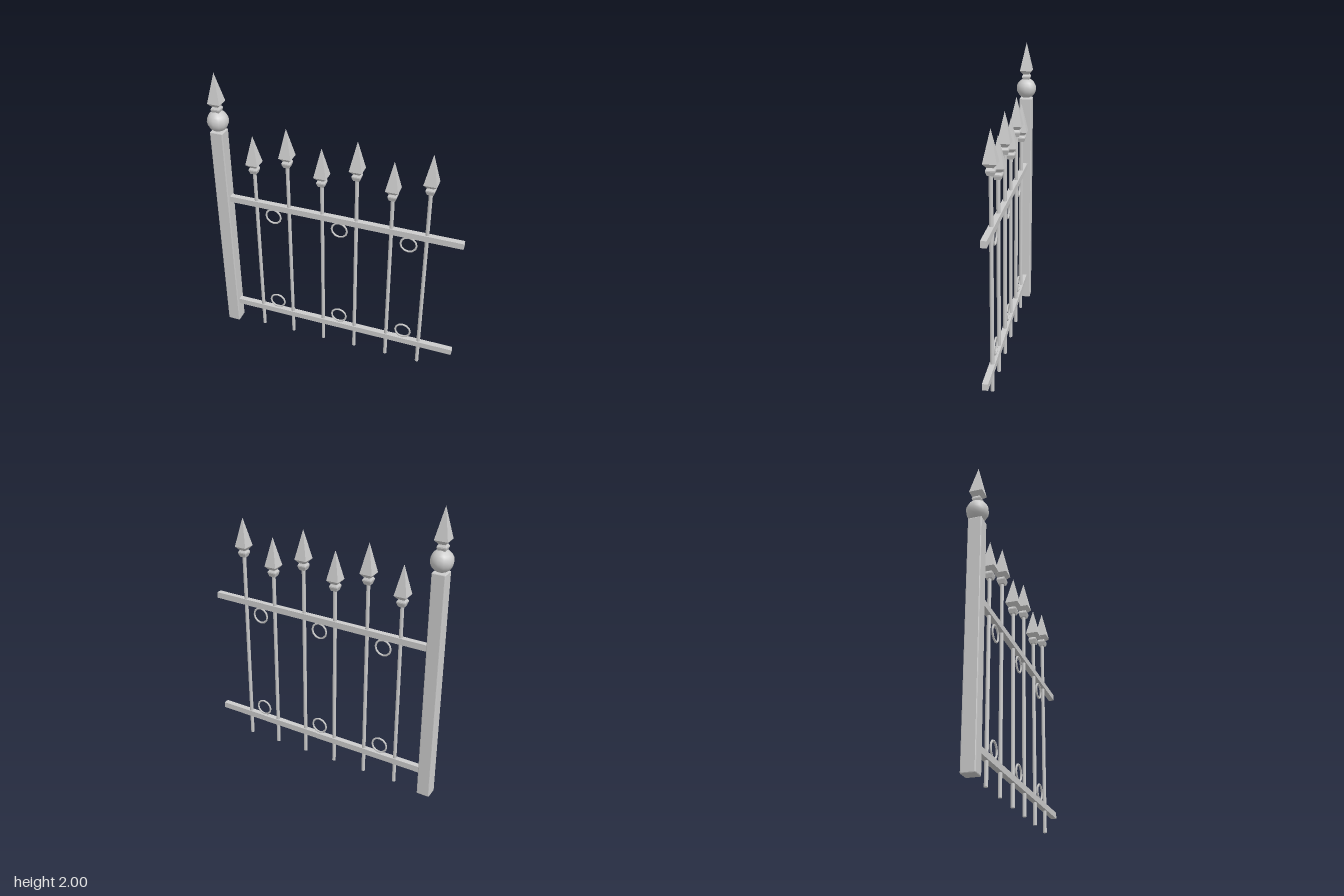
import * as THREE from 'three';
import { RoundedBoxGeometry } from 'three/addons/geometries/RoundedBoxGeometry.js';

const smooth = new THREE.MeshStandardMaterial({ color: 0xcccccc });
const flat = new THREE.MeshStandardMaterial({ color: 0xcccccc, flatShading: true });

function add(parent, name, geometry, material, x, y) {
  const mesh = new THREE.Mesh(geometry, material);
  mesh.name = name;
  mesh.position.set(x, y, 0);
  parent.add(mesh);
  return mesh;
}

// Four-sided spear head with collar; y = 0 at its foot, 0.275 tall
function spearGeometry() {
  const half = [[0, 0], [0.02, 0], [0.029, 0.026], [0.029, 0.034], [0.021, 0.048], [0.043, 0.074], [0, 0.275]];
  const points = half.map(([w, y]) => new THREE.Vector2(w * Math.SQRT2, y));
  return new THREE.LatheGeometry(points, 4).rotateY(Math.PI / 4);
}

export function createModel() {
  const fence = new THREE.Group();
  fence.name = 'fenceSection';
  const spear = spearGeometry();

  // Corner post with ball and spear finial
  const post = new THREE.Group();
  post.name = 'post';
  fence.add(post);
  add(post, 'postShaft', new RoundedBoxGeometry(0.09, 1.6, 0.09, 1, 0.006), flat, -0.8, 0.8);
  add(post, 'postBall', new THREE.SphereGeometry(0.072, 12, 10), smooth, -0.8, 1.67);
  add(post, 'postSpear', spear, flat, -0.8, 1.725);

  // Horizontal rails
  const rail = new THREE.BoxGeometry(1.622, 0.043, 0.038);
  add(fence, 'lowerRail', rail, flat, 0.056, 0.172);
  add(fence, 'upperRail', rail, flat, 0.056, 1.087);

  // Pickets alternating between short and tall
  for (let i = 0; i < 6; i++) {
    const picket = new THREE.Group();
    picket.name = 'picket';
    picket.position.x = -0.563 + i * 0.238;
    fence.add(picket);
    const height = i % 2 ? 1.42 : 1.325;
    add(picket, 'picketBar', new THREE.CylinderGeometry(0.013, 0.013, height, 8), smooth, 0, height / 2);
    add(picket, 'picketSpear', spear, flat, 0, height);
  }

  // Rings under the upper rail and on the lower rail
  const ring = new THREE.TorusGeometry(0.054, 0.007, 6, 12);
  for (const y of [0.253, 1.003]) {
    for (let i = 0; i < 3; i++) add(fence, 'ring', ring, smooth, -0.443 + i * 0.476, y);
  }
  return fence;
}
